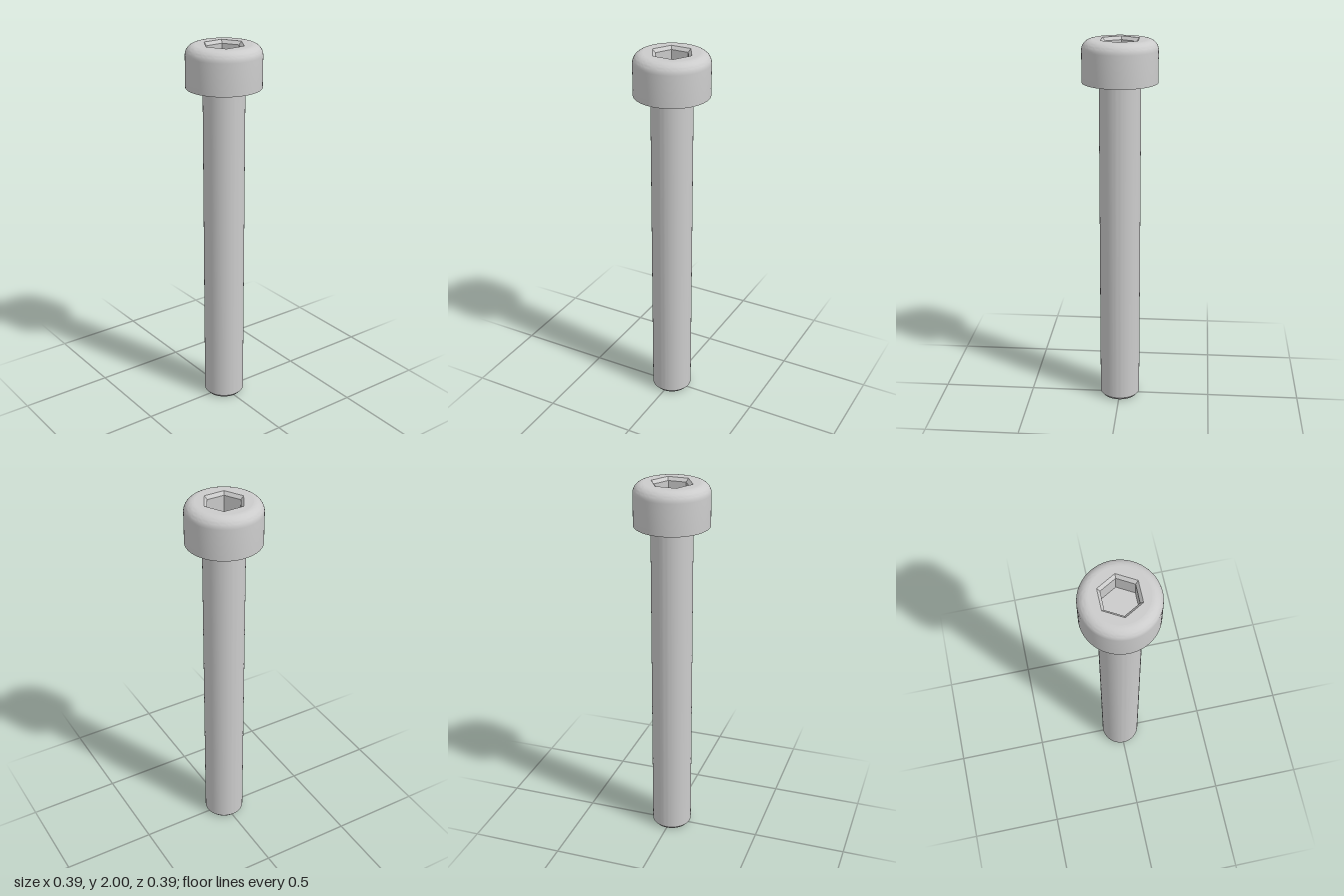
import * as THREE from 'three';
import { toCreasedNormals } from 'three/addons/utils/BufferGeometryUtils.js';

const SEGMENTS = 96;

export function createModel() {
  const group = new THREE.Group();
  const material = new THREE.MeshStandardMaterial({ color: 0xcccccc });

  const add = (name, geometry) => {
    const mesh = new THREE.Mesh(geometry, material);
    mesh.name = name;
    group.add(mesh);
  };
  // Turned surface with crisp edges; profile points are [radius, y]
  const turn = (profile, sides) => toCreasedNormals(
    new THREE.LatheGeometry(profile.map(([r, y]) => new THREE.Vector2(r, y)), sides), 0.5);

  const shankR = 0.109, headR = 0.197, headBase = 1.78, top = 2, fillet = 0.053;
  const socketR = 0.11, socketInnerR = 0.094;

  // Plain shank with a small chamfer at the tip
  add('shank', turn([[0, 0], [shankR - 0.014, 0], [shankR, 0.016], [shankR, headBase]], SEGMENTS));

  // Head: flat underside, straight side and rounded upper edge
  const head = [[shankR, headBase], [headR, headBase]];
  for (let i = 0; i <= 10; i++) {
    const a = (i / 10) * Math.PI / 2;
    head.push([headR - fillet + fillet * Math.cos(a), top - fillet + fillet * Math.sin(a)]);
  }
  add('head', turn(head, SEGMENTS));

  // Flat top face with the hexagonal opening
  const face = new THREE.Shape().absarc(0, 0, headR - fillet, 0, Math.PI * 2);
  const hex = [];
  for (let i = 0; i < 6; i++) {
    const a = Math.PI / 2 + i * Math.PI / 3;
    hex.push(new THREE.Vector2(socketR * Math.cos(a), socketR * Math.sin(a)));
  }
  face.holes.push(new THREE.Path(hex));
  add('headTopFace', new THREE.ShapeGeometry(face, SEGMENTS).rotateX(-Math.PI / 2).translate(0, top, 0));

  // Hex socket: chamfered rim, straight walls and flat floor, facing inward
  add('hexSocket', turn([
    [socketR, top], [socketInnerR, top - 0.017], [socketInnerR, top - 0.11], [0, top - 0.11],
  ], 6));

  return group;
}
